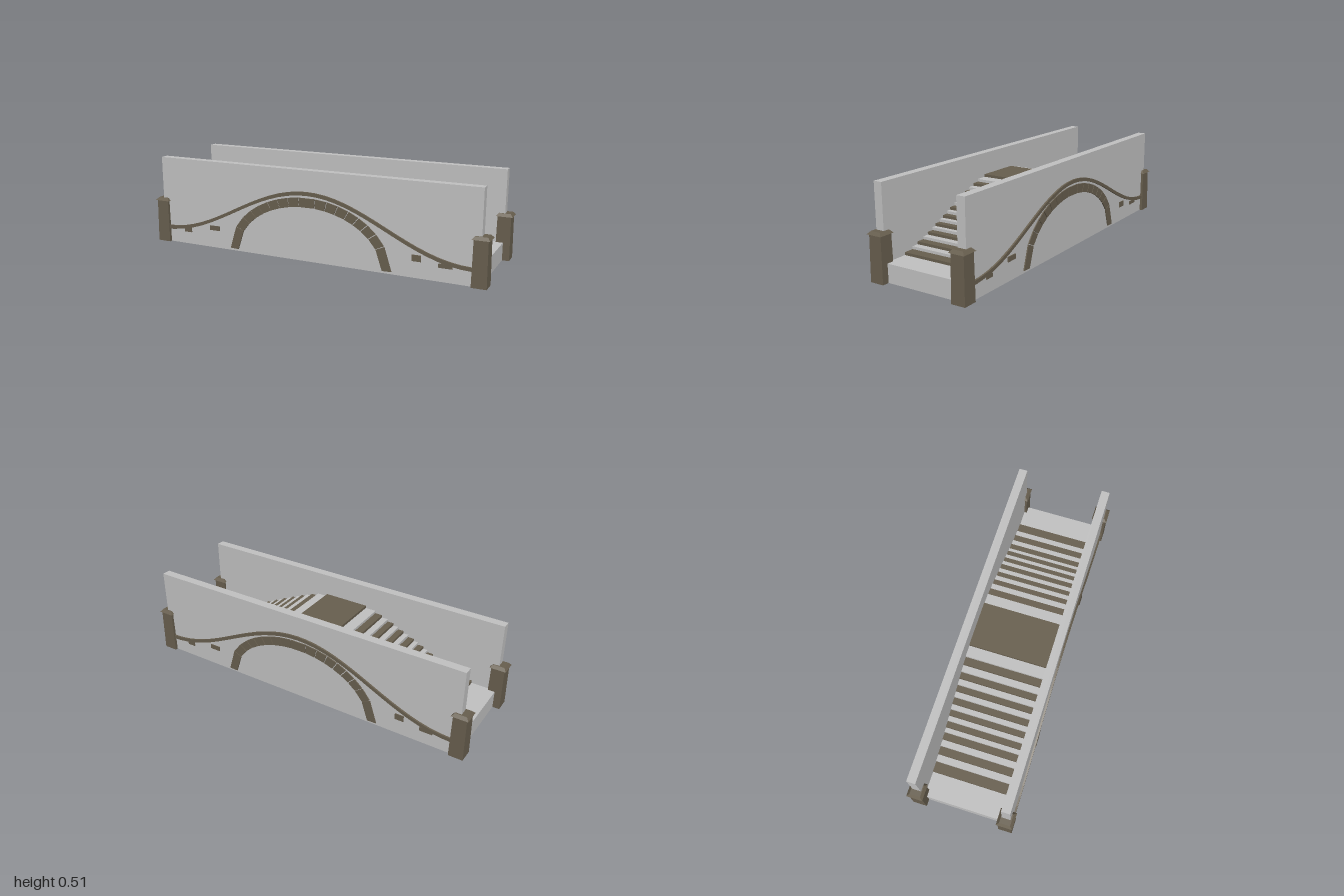
import * as THREE from 'three';

export function createModel() {
  const bridge = new THREE.Group();
  bridge.name = 'footbridge';
  const plaster = new THREE.MeshStandardMaterial({ color: 0xc0c0c0 });
  plaster.name = 'grey plaster';
  const stone = new THREE.MeshStandardMaterial({ color: 0x675e4e });
  stone.name = 'brown stone';

  const add = (parent, name, geometry, material) => {
    const mesh = new THREE.Mesh(geometry, material);
    mesh.name = name;
    parent.add(mesh);
    return mesh;
  };
  // Box given by its limits on each axis
  const box = (x0, x1, y0, y1, z0, z1) =>
    new THREE.BoxGeometry(x1 - x0, y1 - y0, z1 - z0)
      .translate((x0 + x1) / 2, (y0 + y1) / 2, (z0 + z1) / 2);
  // Flat outline raised from the wall face
  const plate = (points, z0, z1) =>
    new THREE.ExtrudeGeometry(new THREE.Shape(points.map(p => new THREE.Vector2(...p))),
      { depth: z1 - z0, bevelEnabled: false }).translate(0, 0, z0);
  // Rectangular block with straight, sloping sides
  const taper = (w0, d0, w1, d1, y0, y1) => {
    const g = new THREE.BoxGeometry(1, y1 - y0, 1).translate(0, (y0 + y1) / 2, 0);
    const p = g.attributes.position;
    for (let i = 0; i < p.count; i++) {
      const top = p.getY(i) > (y0 + y1) / 2;
      p.setX(i, p.getX(i) * (top ? w1 : w0));
      p.setZ(i, p.getZ(i) * (top ? d1 : d0));
    }
    g.computeVertexNormals();
    return g;
  };

  // Floor and the stepped deck, brown and grey courses by turns
  add(bridge, 'floor', box(-0.955, 0.955, 0, 0.1, -0.225, 0.225), plaster);
  const stepEnds = [0.815, 0.757, 0.718, 0.673, 0.637, 0.598, 0.572, 0.538, 0.51, 0.477,
    0.448, 0.412, 0.381, 0.347, 0.314, 0.278, 0.24, 0.196, 0.132];
  const rise = (0.383 - 0.1) / stepEnds.length;
  stepEnds.forEach((x, i) => {
    const y = 0.1 + i * rise;
    add(bridge, i % 2 ? 'greyStep' : 'brownStep',
      box(-x, x, y, y + rise, -0.225, 0.225), i % 2 ? plaster : stone);
  });

  // Outline of the curved rail
  const railY = x => 0.235 + 0.145 * Math.cos(Math.PI * x / 0.92);
  const rail = [];
  const n = 32;
  for (let i = 0; i <= n; i++) {
    const x = -0.915 + 1.83 * i / n;
    rail.push([x, railY(x) - 0.01]);
  }
  for (let i = n; i >= 0; i--) {
    const x = -0.915 + 1.83 * i / n;
    rail.push([x, railY(x) + 0.01]);
  }

  // Angles of the joints between the arch stones
  const half = [2, 24, 35, 44, 52, 60, 68, 76, 84];
  const joints = [...half, ...half.map(a => 180 - a).reverse()];
  const onArch = (deg, a, b) => {
    const t = deg * Math.PI / 180;
    return [a * Math.cos(t), b * Math.sin(t)];
  };

  // Loose bricks showing in the wall
  const bricks = [[-0.63, -0.565, 0.103, 0.13], [-0.81, -0.762, 0.072, 0.108],
    [-0.918, -0.873, 0.077, 0.095], [0.6, 0.65, 0.09, 0.124], [0.742, 0.815, 0.075, 0.097]];

  // Both sides are alike, turned half a circle
  for (const name of ['frontSide', 'backSide']) {
    const side = new THREE.Group();
    side.name = name;
    if (name === 'backSide') side.rotation.y = Math.PI;
    bridge.add(side);

    add(side, 'wall', box(-0.955, 0.955, 0, 0.506, 0.225, 0.273), plaster);
    add(side, 'rail', plate(rail, 0.27, 0.283), stone);

    for (let i = 0; i < joints.length - 1; i++) {
      const a = joints[i] + 0.3, b = joints[i + 1] - 0.3;
      add(side, 'archStone', plate([onArch(a, 0.44, 0.305), onArch(a, 0.492, 0.356),
        onArch(b, 0.492, 0.356), onArch(b, 0.44, 0.305)], 0.27, 0.279), stone);
    }
    for (const [x0, x1, y0, y1] of bricks)
      add(side, 'brick', box(x0, x1, y0, y1, 0.27, 0.278), stone);

    // End posts with sloping caps
    for (const s of [-1, 1]) {
      const post = new THREE.Group();
      post.name = 'post';
      post.position.set(s * 0.954, 0, 0.25);
      side.add(post);
      add(post, 'postShaft', taper(0.08, 0.08, 0.074, 0.074, 0, 0.248), stone);
      add(post, 'postCap', taper(0.092, 0.09, 0.064, 0.06, 0.247, 0.263), stone);
    }
  }
  return bridge;
}
